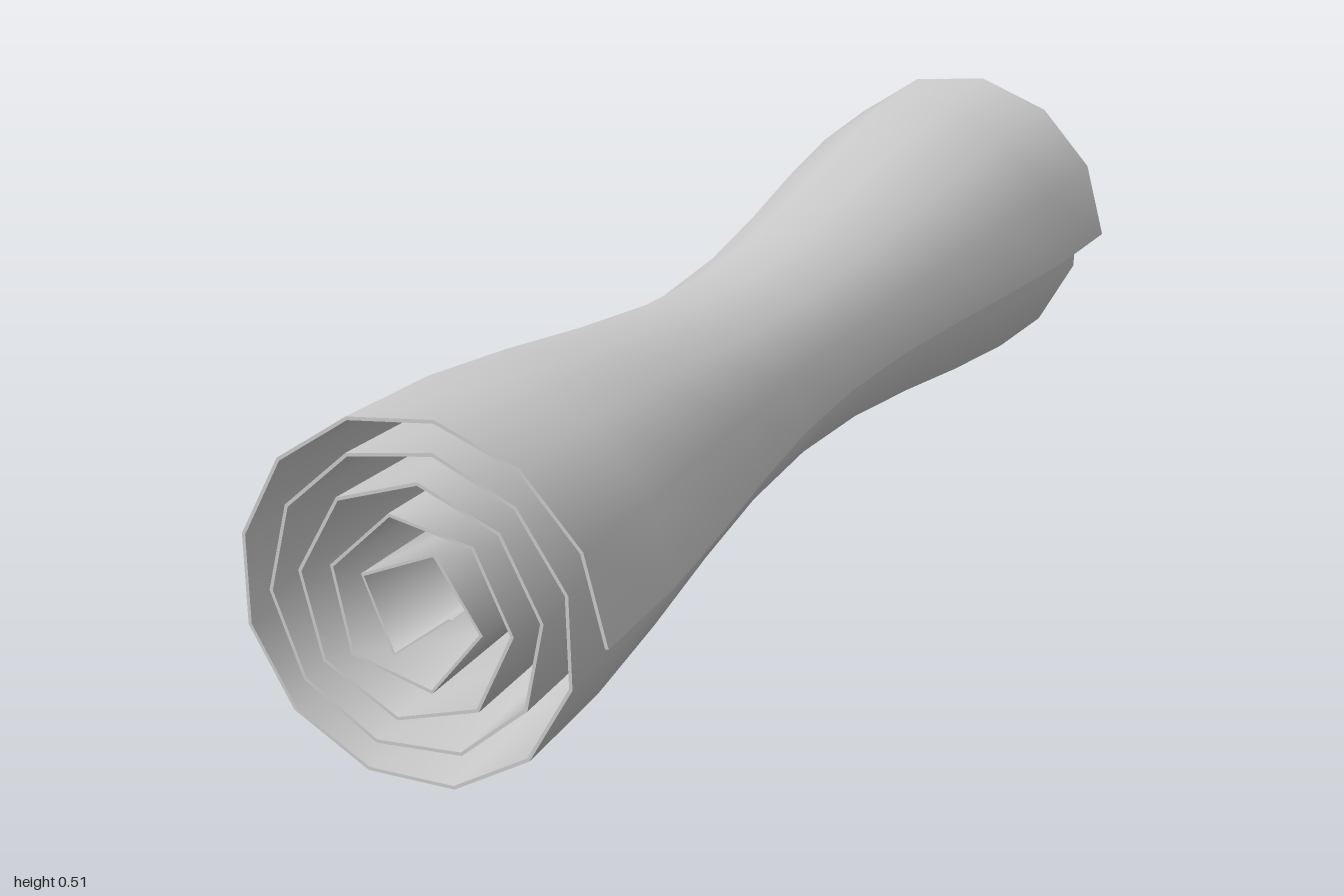
import * as THREE from 'three';
import { mergeGeometries } from 'three/addons/utils/BufferGeometryUtils.js';

const STEPS = 41;                    // facets along the spiral
const SLICES = 10;                   // slices along the length
const TURNS = 5;
const R_IN = 0.058, R_OUT = 0.28;
const THICK = 0.005;

// Point on the sheet: u along the spiral, w through the thickness (0 inner, 1 outer), v along the length
function sheetPoint(u, w, v) {
  // radius grows so that every facet has the same arc length
  const r = Math.sqrt(R_IN ** 2 + (R_OUT ** 2 - R_IN ** 2) * u);
  const angle = -2 * Math.PI * TURNS * (r - R_IN) / (R_OUT - R_IN);
  const d = r - THICK * (1 - w);
  const x = -0.014 + d * Math.cos(angle);
  const y = -0.011 + d * Math.sin(angle);
  // the roll narrows smoothly towards the middle
  const z = v * 2 - 1;
  const waist = Math.cos(z * Math.PI / 2) ** 2;
  return [x * (1 - 0.322 * waist), 0.257 + y * (1 - 0.377 * waist), z];
}

// Smooth grid patch facing da x db
function patch(na, nb, fn) {
  const pos = [], idx = [];
  for (let i = 0; i <= na; i++) {
    for (let j = 0; j <= nb; j++) {
      pos.push(...fn(i / na, j / nb));
      if (i < na && j < nb) {
        const a = i * (nb + 1) + j, b = a + nb + 1;
        idx.push(a, b, b + 1, a, b + 1, a + 1);
      }
    }
  }
  const g = new THREE.BufferGeometry();
  g.setAttribute('position', new THREE.Float32BufferAttribute(pos, 3));
  g.setIndex(idx);
  g.computeVertexNormals();
  return g;
}

export function createModel() {
  const group = new THREE.Group();
  group.name = 'roll';
  const material = new THREE.MeshStandardMaterial({ color: 0xcccccc });

  const add = (name, ...patches) => {
    const mesh = new THREE.Mesh(mergeGeometries(patches), material);
    mesh.name = name;
    group.add(mesh);
  };

  // Broad faces of the rolled sheet
  add('outerFace', patch(STEPS, SLICES, (a, b) => sheetPoint(a, 1, 1 - b)));
  add('innerFace', patch(STEPS, SLICES, (a, b) => sheetPoint(a, 0, b)));

  // Spiral rims at the front and back
  add('spiralRims',
    patch(STEPS, 1, (a, b) => sheetPoint(a, b, 1)),
    patch(STEPS, 1, (a, b) => sheetPoint(a, 1 - b, 0)));

  // Long edges at the core and at the outer flap
  add('longEdges',
    patch(1, SLICES, (a, b) => sheetPoint(0, a, 1 - b)),
    patch(1, SLICES, (a, b) => sheetPoint(1, a, b)));

  return group;
}
